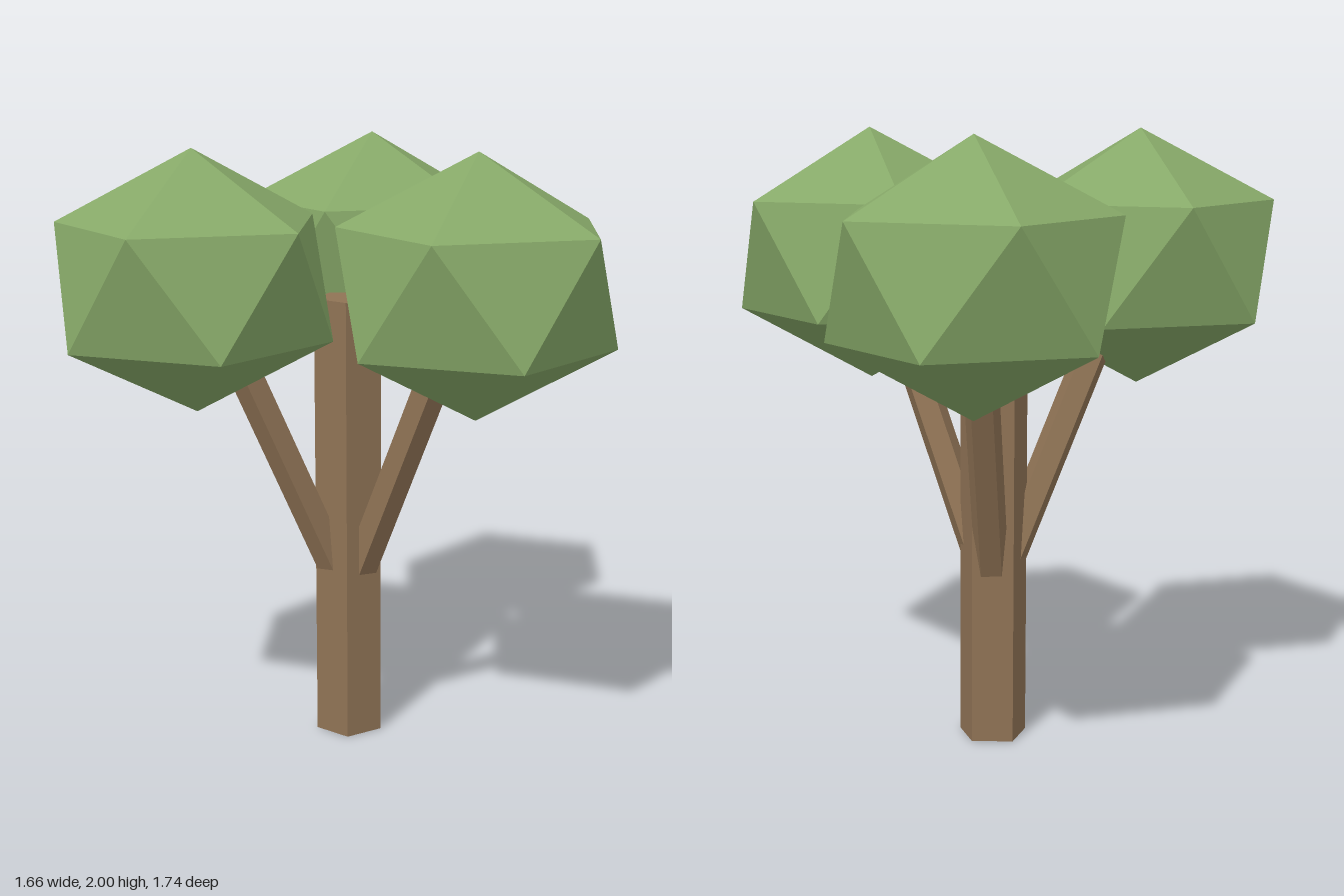
import * as THREE from 'three';

export function createModel() {
  const tree = new THREE.Group();
  tree.name = 'tree';
  const bark = new THREE.MeshStandardMaterial({ color: 0x8f7355, flatShading: true });
  bark.name = 'bark brown';
  const leaf = new THREE.MeshStandardMaterial({ color: 0x86a868, flatShading: true });
  leaf.name = 'leaf green';

  const add = (name, geometry, material) => {
    const mesh = new THREE.Mesh(geometry, material);
    mesh.name = name;
    tree.add(mesh);
    return mesh;
  };

  // Five-sided post with a flat side facing the front
  const post = (radius, height) =>
    new THREE.CylinderGeometry(radius, radius, height, 5).rotateY(Math.PI);

  // Trunk, set off to one side of the centre
  const trunkX = -0.13, trunkHeight = 1.5;
  add('trunk', post(0.115, trunkHeight), bark).position.set(trunkX, trunkHeight / 2, 0);

  // Crown: icosahedron standing on a corner, slightly squashed
  const crownRadius = 0.492;
  const crown = new THREE.IcosahedronGeometry(crownRadius, 0)
    .rotateZ(-Math.atan(2 / (1 + Math.sqrt(5))))
    .scale(1, 0.42 / crownRadius, 1);

  // Three branches spread evenly round the trunk, each carrying a crown
  const up = new THREE.Vector3(0, 1, 0);
  ['left', 'frontRight', 'backRight'].forEach((side, i) => {
    const angle = (i * Math.PI * 2) / 3;
    const at = (r, y) => new THREE.Vector3(trunkX + r * Math.cos(angle), y, r * Math.sin(angle));

    const start = at(0.05, 0.583), end = at(0.44, 1.47);
    const direction = end.clone().sub(start);
    const branch = add(side + 'Branch', post(0.058, direction.length()), bark);
    branch.position.copy(start).add(end).multiplyScalar(0.5);
    branch.quaternion.setFromUnitVectors(up, direction.normalize());

    add(side + 'Crown', crown, leaf).position.copy(at(0.519, 1.58));
  });

  return tree;
}
